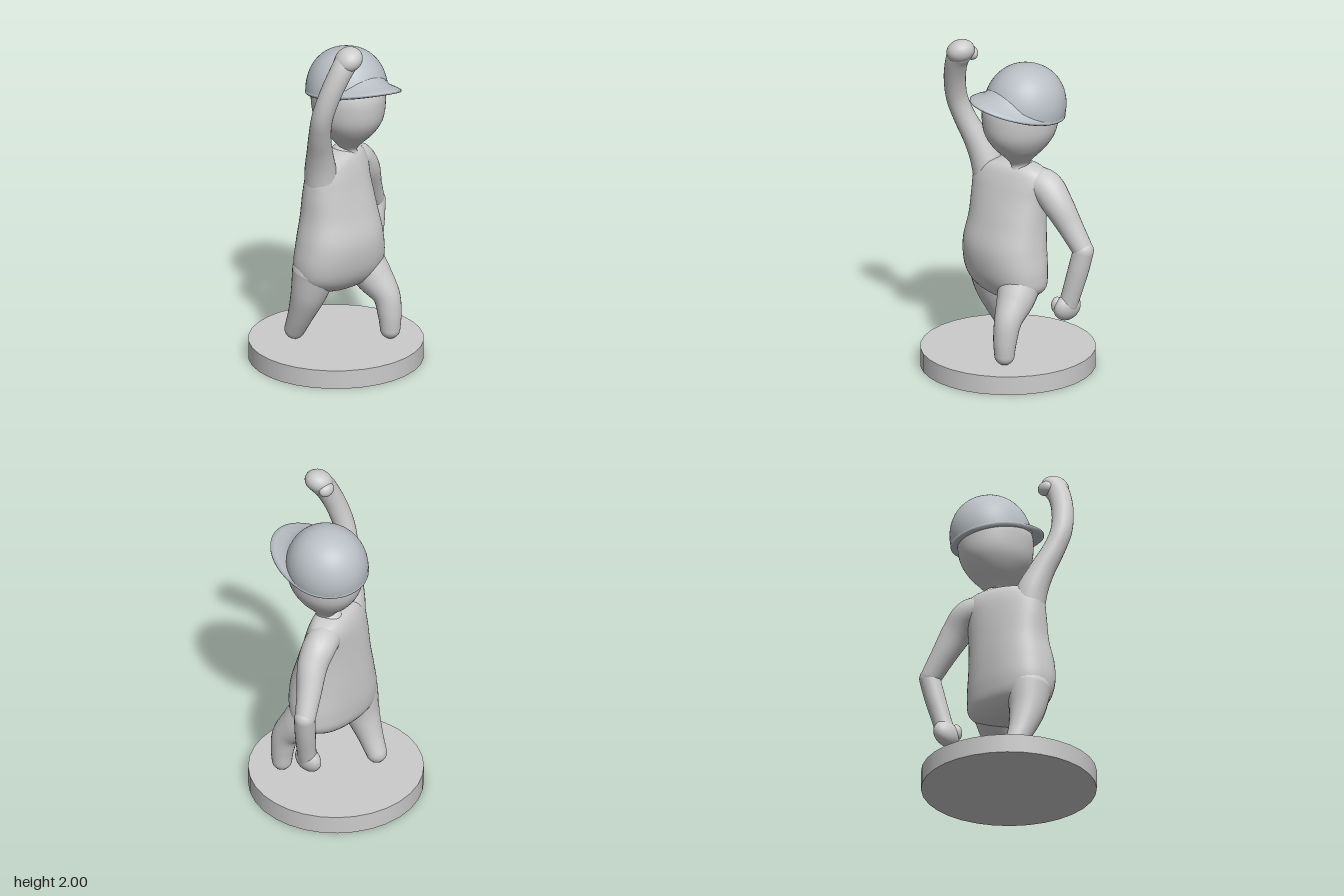
import * as THREE from 'three';

const grey = new THREE.MeshStandardMaterial({ color: 0xcccccc });
const capGrey = new THREE.MeshStandardMaterial({ color: 0xb9c0c5 });
const V = (x, y, z) => new THREE.Vector3(x, y, z);

function part(name, geometry, material = grey) {
  const mesh = new THREE.Mesh(geometry, material);
  mesh.name = name;
  return mesh;
}

// Closed smooth surface through a list of equal rings of points
function skin(rings) {
  const n = rings[0].length, index = [];
  for (let i = 0; i < rings.length - 1; i++)
    for (let j = 0; j < n; j++) {
      const k = (j + 1) % n, a = i * n, b = a + n;
      index.push(a + j, a + k, b + j, a + k, b + k, b + j);
    }
  const g = new THREE.BufferGeometry().setFromPoints(rings.flat());
  g.setIndex(index);
  g.computeVertexNormals();
  return g;
}

// Catmull-Rom interpolation of rows of numbers
function sample(rows, t) {
  const f = t * (rows.length - 1), i = Math.min(Math.floor(f), rows.length - 2), u = f - i;
  const at = k => rows[Math.max(0, Math.min(rows.length - 1, k))];
  return rows[0].map((_, c) => {
    const [p, q, r, s] = [at(i - 1)[c], at(i)[c], at(i + 1)[c], at(i + 2)[c]];
    return q + 0.5 * u * (r - p + u * (2 * p - 5 * q + 4 * r - s + u * (3 * (q - r) + s - p)));
  });
}

// Round limb with hemispherical ends; rows are x, y, z, radius
function limb(name, rows) {
  const steps = 36, sides = 24, capSteps = 7, rings = [];
  const pos = t => V(...sample(rows, t).slice(0, 3));
  let normal = V(0, 0, 1);
  const ring = (c, r, T) => {
    normal = normal.clone().addScaledVector(T, -normal.dot(T)).normalize();
    const B = T.clone().cross(normal);
    rings.push(Array.from({ length: sides }, (_, j) => {
      const a = j / sides * Math.PI * 2;
      return c.clone().addScaledVector(normal, r * Math.cos(a)).addScaledVector(B, r * Math.sin(a));
    }));
  };
  const cap = (t, T, sign) => {
    const r = sample(rows, t)[3];
    for (let k = 0; k < capSteps; k++) {
      const a = (sign < 0 ? k : capSteps - 1 - k) / capSteps * Math.PI / 2;
      ring(pos(t).addScaledVector(T, sign * r * Math.cos(a)), Math.max(r * Math.sin(a), 0.0005), T);
    }
  };
  for (let i = 0; i <= steps; i++) {
    const t = i / steps;
    const T = pos(Math.min(1, t + 0.01)).sub(pos(Math.max(0, t - 0.01))).normalize();
    if (i === 0) cap(0, T, -1);
    ring(pos(t), sample(rows, t)[3], T);
    if (i === steps) cap(1, T, 1);
  }
  return part(name, skin(rings));
}

// Torso: rows are y, centre x, centre z, half width, half depth, yaw
function torso() {
  const rows = [
    [0.43, 0, 0.01, 0.004, 0.004, 0], [0.445, 0, 0.01, 0.15, 0.09, 0],
    [0.51, 0, 0.01, 0.265, 0.155, 0], [0.61, -0.005, 0.02, 0.288, 0.182, 0],
    [0.75, -0.005, 0.025, 0.272, 0.187, 0.05], [0.9, 0, 0.01, 0.25, 0.165, 0.12],
    [1.05, 0, -0.005, 0.245, 0.14, 0.22], [1.15, 0.01, -0.015, 0.245, 0.12, 0.28],
    [1.215, 0.025, -0.02, 0.2, 0.095, 0.3], [1.245, 0.05, -0.025, 0.1, 0.06, 0.3],
    [1.255, 0.06, -0.03, 0.004, 0.004, 0.3]];
  const steps = 60, sides = 48, rings = [];
  const soft = v => Math.sign(v) * Math.abs(v) ** 0.85;
  for (let i = 0; i <= steps; i++) {
    const [y, cx, cz, w, d, yaw] = sample(rows, i / steps);
    rings.push(Array.from({ length: sides }, (_, j) => {
      const a = j / sides * Math.PI * 2;
      return V(w * soft(Math.sin(a)), 0, d * soft(Math.cos(a)))
        .applyAxisAngle(V(0, 1, 0), yaw).add(V(cx, y, cz));
    }));
  }
  return part('torso', skin(rings));
}

function ball(name, p, s, rot = [0, 0, 0]) {
  const m = part(name, new THREE.SphereGeometry(1, 28, 20));
  m.position.set(...p);
  m.scale.set(...s);
  m.rotation.set(...rot);
  return m;
}

function lathe(points, smooth) {
  let p = points.map(q => new THREE.Vector2(...q));
  if (smooth) p = new THREE.SplineCurve(p).getPoints(40).map(q => q.setX(Math.max(0, q.x)));
  return new THREE.LatheGeometry(p, 48);
}

// Cap: half-ellipsoid crown and a brim drawn forward out of a thin ring
function cap() {
  const g = new THREE.Group();
  g.name = 'cap';
  const crown = [[0.19, -0.022], [0.222, -0.024], [0.23, -0.012]];
  for (let i = 0; i <= 20; i++) {
    const a = i / 20 * Math.PI / 2;
    crown.push([0.23 * Math.cos(a) ** 0.9, 0.25 * Math.sin(a)]);
  }
  crown[crown.length - 1][0] = 0;
  const dome = part('capCrown', lathe(crown), capGrey);
  dome.material.side = THREE.DoubleSide;
  dome.scale.z = 1.05;

  const rim = lathe([[0.17, -0.02], [0.2, -0.024], [0.222, -0.026], [0.232, -0.018], [0.232, -0.006],
    [0.222, 0.004], [0.2, 0.018], [0.185, 0.05], [0.17, 0.08]]);
  const p = rim.attributes.position;
  for (let i = 0; i < p.count; i++) {
    const r = Math.hypot(p.getX(i), p.getZ(i));
    const front = Math.max(0, p.getZ(i) / r) ** 0.75;
    const out = THREE.MathUtils.clamp((r - 0.165) / 0.067, 0, 1);
    p.setZ(i, p.getZ(i) * 1.05 + 0.13 * front * out);
    p.setY(i, p.getY(i) + 0.04 * front * front);
  }
  rim.computeVertexNormals();
  g.add(dome, part('capBrim', rim, capGrey));
  g.position.set(0.1, 1.595, -0.035);
  g.rotation.set(-0.15, 0.06, -0.13);
  return g;
}

export function createModel() {
  const model = new THREE.Group();
  model.name = 'figure';

  // Round stand
  const base = part('base', new THREE.CylinderGeometry(0.5, 0.5, 0.11, 32));
  base.position.set(-0.01, 0.055, 0);

  // Head with tapering chin and neck
  const head = part('head', lathe([[0, 1.2], [0.05, 1.21], [0.048, 1.25], [0.085, 1.3], [0.14, 1.36],
    [0.185, 1.44], [0.2, 1.53], [0.195, 1.62], [0.15, 1.71], [0, 1.76]], true));
  head.scale.z = 1.15;
  head.position.set(0.09, 0, -0.01);
  const neck = ball('neck', [0.07, 1.235, -0.03], [0.065, 0.035, 0.07]);

  model.add(base, torso(), head, neck, cap());

  // Legs: left one steps forward, right one trails
  model.add(
    limb('leftLeg', [[0.15, 0.57, 0.03, 0.125], [0.185, 0.47, 0.1, 0.108], [0.215, 0.37, 0.175, 0.08],
      [0.22, 0.26, 0.2, 0.068], [0.22, 0.17, 0.205, 0.058]]),
    limb('rightLeg', [[-0.17, 0.56, 0, 0.13], [-0.19, 0.42, -0.03, 0.103], [-0.2, 0.28, -0.085, 0.075],
      [-0.2, 0.175, -0.137, 0.06]]));

  // Raised right arm and fist
  model.add(
    limb('rightArm', [[-0.13, 1.02, 0.02, 0.1], [-0.155, 1.18, 0.035, 0.092], [-0.195, 1.32, 0.075, 0.075],
      [-0.24, 1.46, 0.13, 0.064], [-0.258, 1.59, 0.175, 0.062], [-0.23, 1.73, 0.212, 0.063],
      [-0.18, 1.85, 0.237, 0.065], [-0.14, 1.91, 0.242, 0.068]]),
    ball('rightFist', [-0.128, 1.928, 0.25], [0.082, 0.066, 0.082], [0, 0, 0.5]),
    ball('rightThumb', [-0.12, 1.905, 0.182], [0.05, 0.042, 0.036]));

  // Lowered left arm: upper arm, forearm meeting at a sharp elbow, hand
  model.add(
    limb('leftUpperArm', [[0.12, 1.14, -0.06, 0.09], [0.22, 1.125, -0.095, 0.096], [0.3, 1.04, -0.115, 0.088],
      [0.37, 0.91, -0.155, 0.072], [0.437, 0.785, -0.19, 0.06]]),
    limb('leftForearm', [[0.443, 0.78, -0.19, 0.06], [0.42, 0.66, -0.172, 0.06], [0.388, 0.52, -0.15, 0.056],
      [0.37, 0.45, -0.14, 0.055]]),
    ball('leftHand', [0.36, 0.425, -0.138], [0.058, 0.082, 0.086], [0, 0, -0.25]),
    ball('leftThumb', [0.335, 0.44, -0.085], [0.034, 0.05, 0.034]));

  return model;
}
